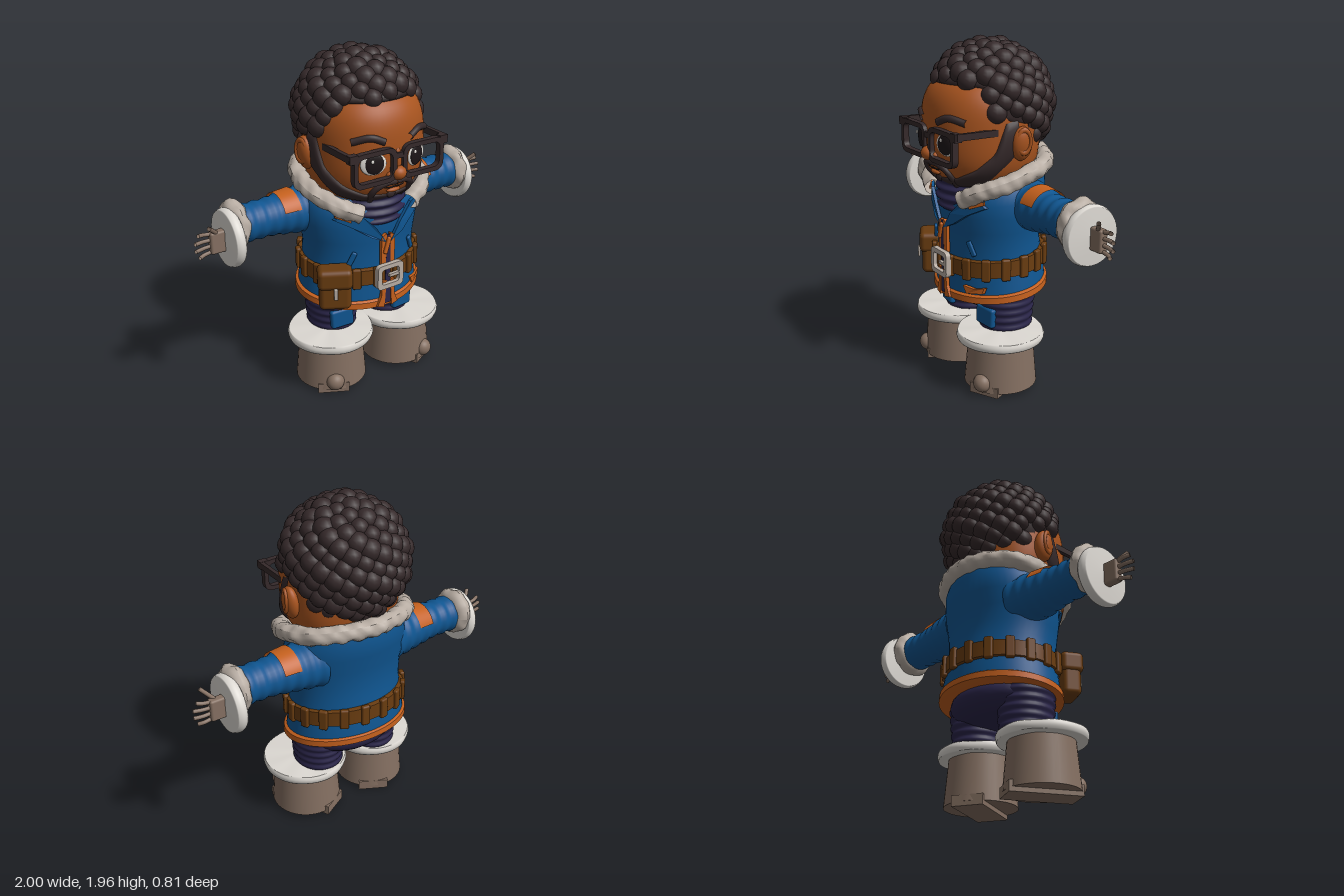
import * as THREE from 'three';
import { mergeGeometries, toCreasedNormals } from 'three/addons/utils/BufferGeometryUtils.js';
import { RoundedBoxGeometry } from 'three/addons/geometries/RoundedBoxGeometry.js';

const V = (x, y, z) => new THREE.Vector3(x, y, z);
const mat = (name, color) => {
  const m = new THREE.MeshStandardMaterial({ color, side: THREE.DoubleSide });
  m.name = name;
  return m;
};

// Head surface: squarish in height, nearly elliptical across
const headK = y => Math.cbrt(Math.max(0, 1 - Math.abs((y - 1.47) / (y < 1.47 ? 0.34 : 0.32)) ** 3));
const headPoint = (u, y, grow = 1) => {
  const s = Math.sin(u), c = Math.cos(u), rz = c > 0 ? 0.35 : 0.28;
  const r = grow * headK(y) / ((Math.abs(s) / 0.33) ** 2.2 + (Math.abs(c) / rz) ** 2.2) ** (1 / 2.2);
  return V(s * r, y, c * r);
};
const faceZ = (x, y) => 0.35 * Math.max(0, headK(y) ** 2.2 - (Math.abs(x) / 0.33) ** 2.2) ** (1 / 2.2);
const jacketZ = x => -0.025 + 0.28 * Math.sqrt(Math.max(0, 1 - (x / 0.37) ** 2));

// Grid surface from a function of two parameters; u runs rightward, v upward
function grid(nu, nv, f) {
  const pos = [], idx = [];
  for (let j = 0; j <= nv; j++) for (let i = 0; i <= nu; i++) pos.push(...f(i / nu, j / nv).toArray());
  for (let j = 0; j < nv; j++) for (let i = 0; i < nu; i++) {
    const a = j * (nu + 1) + i, d = a + nu + 1;
    idx.push(a, a + 1, d + 1, a, d + 1, d);
  }
  const g = new THREE.BufferGeometry();
  g.setAttribute('position', new THREE.Float32BufferAttribute(pos, 3));
  g.setIndex(idx);
  g.computeVertexNormals();
  return g;
}

// Closed loft through tilted ellipses [y, rx, rz, cz, tilt]
function loft(rings) {
  const all = [[...rings[0]], ...rings, [...rings[rings.length - 1]]];
  for (const r of [all[0], all[all.length - 1]]) r[1] = r[2] = 0.001;
  return toCreasedNormals(grid(56, all.length - 1, (u, v) => {
    const [y, rx, rz, cz, t] = all[Math.round(v * (all.length - 1))], a = u * Math.PI * 2 + Math.PI;
    const z = cz + rz * Math.cos(a);
    return V(rx * Math.sin(a), y - z * t, z);
  }), 0.8);
}

// Lumpy fleece: push vertices along their normals
function fluff(g, amp, f = 55) {
  const p = g.attributes.position, n = g.attributes.normal;
  for (let i = 0; i < p.count; i++) {
    const x = p.getX(i), y = p.getY(i), z = p.getZ(i);
    const d = amp * (Math.sin(x * f) * Math.sin(y * f + 1) + Math.sin(z * f + 2) * Math.cos((x + y) * f * 0.7));
    p.setXYZ(i, x + n.getX(i) * d, y + n.getY(i) * d, z + n.getZ(i) * d);
  }
  g.computeVertexNormals();
  return g;
}

// Thin plate from an outline, bent over a surface z = f(x, y)
function plate(pts, depth, f) {
  const g = new THREE.ExtrudeGeometry(new THREE.Shape(pts.map(p => new THREE.Vector2(...p))), { depth, bevelEnabled: false });
  const p = g.attributes.position;
  for (let i = 0; i < p.count; i++) p.setZ(i, p.getZ(i) + f(p.getX(i), p.getY(i)));
  g.computeVertexNormals();
  return g;
}

// Rounded rectangular frame with a hole
function frame(w, h, r, t, depth) {
  const path = (P, w, h, r) => {
    const p = new P(), x = w / 2, y = h / 2;
    p.moveTo(-x + r, -y).lineTo(x - r, -y).quadraticCurveTo(x, -y, x, -y + r).lineTo(x, y - r).quadraticCurveTo(x, y, x - r, y)
      .lineTo(-x + r, y).quadraticCurveTo(-x, y, -x, y - r).lineTo(-x, -y + r).quadraticCurveTo(-x, -y, -x + r, -y);
    return p;
  };
  const s = path(THREE.Shape, w, h, r);
  s.holes.push(path(THREE.Path, w - 2 * t, h - 2 * t, r * 0.7));
  return new THREE.ExtrudeGeometry(s, { depth, bevelEnabled: false });
}

const tube = (pts, r, n = 24, s = 10) => new THREE.TubeGeometry(new THREE.CatmullRomCurve3(pts), n, r, s);
const ball = () => new THREE.SphereGeometry(1, 24, 16);
const lathe = (n, f, seg = 32) => new THREE.LatheGeometry(Array.from({ length: n + 1 }, (_, i) => new THREE.Vector2(...f(i / n))), seg);

export function createModel() {
  const root = new THREE.Group();
  root.name = 'bundledTraveller';
  const skin = mat('skin', 0xa8541f), hair = mat('darkHair', 0x35292a), blue = mat('jacketBlue', 0x0f5590),
    orange = mat('orangeTrim', 0xc4601d), brown = mat('leather', 0x693c10), navy = mat('navyCloth', 0x2a2549),
    fur = mat('beigeFleece', 0xb8ada3), white = mat('whiteFleece', 0xdcd8d2), taupe = mat('taupe', 0x846f61), black = mat('eyeBlack', 0x1c1517);
  const add = (name, g, m, p = [0, 0, 0], s = [1, 1, 1], r = [0, 0, 0]) => {
    const o = new THREE.Mesh(g, m);
    o.name = name;
    o.position.set(...p); o.scale.set(...s); o.rotation.set(...r);
    root.add(o);
    return o;
  };

  // Head
  add('head', grid(64, 40, (u, v) => {
    const t = -Math.cos(v * Math.PI);
    return headPoint(u * 2 * Math.PI + Math.PI, 1.47 + t * (t < 0 ? 0.3399 : 0.3199));
  }), skin);
  add('nose', ball(), skin, [0, 1.355, 0.355], [0.046, 0.04, 0.045]);
  add('noseBridge', ball(), skin, [0, 1.42, 0.335], [0.028, 0.08, 0.03]);

  // Beard follows the jaw and thins out at its edges
  const edge = (a, list) => { // piecewise linear over degrees
    for (let i = 1; i < list.length; i++) if (a <= list[i][0]) {
      const [a0, y0] = list[i - 1], [a1, y1] = list[i];
      return y0 + (y1 - y0) * (a - a0) / (a1 - a0);
    }
    return list[list.length - 1][1];
  };
  add('beard', grid(60, 10, (u, v) => {
    const d = (u * 2 - 1) * 90, a = Math.abs(d);
    const top = edge(a, [[0, 1.215], [30, 1.235], [50, 1.29], [68, 1.38], [78, 1.54], [90, 1.56]]);
    const low = edge(a, [[0, 1.145], [30, 1.16], [60, 1.2], [90, 1.36]]);
    return headPoint(d * Math.PI / 180, low + (top - low) * v, 0.99 + 0.07 * Math.sqrt(Math.max(0, Math.sin(Math.PI * v))));
  }), hair);
  add('soulPatch', ball(), hair, [0, 1.215, faceZ(0, 1.215)], [0.03, 0.025, 0.015]);
  add('lowerLip', ball(), skin, [0, 1.245, faceZ(0, 1.245)], [0.045, 0.014, 0.02]);
  for (const s of [-1, 1]) {
    const on = (x, y, o = 0) => V(s * x, y, faceZ(x, y) + o);
    add('moustache', tube([on(0, 1.3), on(0.05, 1.302), on(0.105, 1.275), on(0.122, 1.23), on(0.1, 1.18)], 0.019), hair);
    add('mouthLine', tube([on(0, 1.268), on(0.03, 1.264), on(0.06, 1.27)], 0.005, 10, 6), black);
    add('nostril', ball(), skin, [s * 0.042, 1.345, 0.335], [0.026, 0.023, 0.03]);
    add('eyeWhite', ball(), white, [s * 0.138, 1.42, faceZ(0.138, 1.42) - 0.003], [0.072, 0.063, 0.014], [0, s * 0.3, 0]);
    add('iris', ball(), black, [s * 0.136, 1.42, faceZ(0.136, 1.42) + 0.006], [0.052, 0.056, 0.011], [0, s * 0.3, 0]);
    add('eyeGlint', ball(), white, [s * 0.136 - 0.02, 1.442, faceZ(0.136, 1.42) + 0.018], [0.011, 0.011, 0.005]);
    add('eyebrow', tube([on(0.08, 1.535), on(0.15, 1.562), on(0.235, 1.54)], 0.02, 14), hair, [0, 0, 0]);
    add('ear', ball(), skin, [s * 0.342, 1.425, -0.02], [0.042, 0.095, 0.062], [0, 0, -s * 0.1]);
    add('earFold', new THREE.TorusGeometry(0.045, 0.012, 8, 24), skin, [s * 0.372, 1.44, -0.015], [0.8, 1.35, 0.8], [0, Math.PI / 2 - s * 0.3, 0]);
    // Glasses
    add('lensFrame', frame(0.27, 0.19, 0.055, 0.026, 0.035), hair, [s * 0.155, 1.412, 0.338]);
    add('hinge', new THREE.BoxGeometry(0.05, 0.045, 0.04), hair, [s * 0.29, 1.487, 0.353]);
    add('temple', new THREE.BoxGeometry(0.024, 0.036, 0.36), hair, [s * 0.305, 1.49, 0.18], [1, 1, 1], [0, 0, 0]);
  }
  add('glassesBridge', new THREE.BoxGeometry(0.08, 0.03, 0.03), hair, [0, 1.455, 0.355]);

  // Hair: a cap cut away at the face, covered in round curls
  const cap = new THREE.SphereGeometry(1, 48, 40).scale(0.34, 0.33, 0.335).translate(0, 1.6, -0.03);
  const cp = cap.attributes.position;
  for (let i = 0; i < cp.count; i++) {
    const y = cp.getY(i);
    cp.setZ(i, Math.min(cp.getZ(i), y < 1.53 ? -0.07 : y < 1.71 ? 0.12 : 1));
  }
  cap.computeVertexNormals();
  add('hairCap', cap, hair);
  const curls = [];
  for (let i = 0, n = 230; i < n; i++) {
    const t = 1 - 2 * (i + 0.5) / n, a = i * 2.39996, q = Math.sqrt(1 - t * t);
    const x = 0.315 * q * Math.cos(a), y = 1.6 + 0.305 * t, z = -0.03 + 0.315 * q * Math.sin(a);
    if (y > 1.735 || (y > 1.56 && z < 0.14) || (y > 1.37 && z < -0.1))
      curls.push(new THREE.SphereGeometry(0.058 + 0.006 * Math.sin(i * 7.3), 14, 10).translate(x, y, z));
  }
  add('curls', mergeGeometries(curls), hair);

  // Jacket
  add('jacket', loft([[0.56, 0.37, 0.295, -0.035, 0.13], [0.64, 0.36, 0.29, -0.035, 0.12], [0.74, 0.345, 0.278, -0.03, 0.09],
    [0.85, 0.34, 0.268, -0.025, 0.06], [0.93, 0.35, 0.27, -0.02, 0.05], [1.02, 0.365, 0.278, -0.02, 0.06], [1.1, 0.368, 0.288, -0.03, 0.1],
    [1.17, 0.35, 0.29, -0.04, 0.18], [1.23, 0.31, 0.25, -0.06, 0.24]]), blue);
  add('hemBand', loft([[0.545, 0.375, 0.3, -0.035, 0.13], [0.55, 0.386, 0.308, -0.035, 0.13], [0.585, 0.383, 0.306, -0.035, 0.13], [0.595, 0.365, 0.292, -0.035, 0.13]]), orange);
  add('scarf', lathe(40, t => [0.16 + 0.05 * Math.sin(Math.min(1, t * 2) * Math.PI / 2) + 0.009 * Math.sin(t * 28), 0.97 + 0.24 * t]), navy, [0, 0, 0.07]);
  add('collar', fluff(tube([[-0.16, 1.11, 0.245], [-0.27, 1.165, 0.2], [-0.35, 1.225, 0.04], [-0.29, 1.285, -0.2], [0, 1.31, -0.32],
    [0.29, 1.285, -0.2], [0.35, 1.225, 0.04], [0.27, 1.165, 0.2], [0.16, 1.11, 0.245]].map(p => V(...p)), 0.05, 120, 16), 0.005, 70), fur);
  add('frontGap', plate([[-0.02, 0.53], [0.02, 0.53], [0.012, 0.96], [-0.012, 0.96]], 0.008, () => 0.272), navy);
  for (const s of [-1, 1]) {
    const p = pts => pts.map(([x, y]) => [s * x, y]);
    add('placket', plate(p([[0.012, 0.78], [0.045, 0.78], [0.045, 0.95], [0.012, 0.97]]), 0.02, x => jacketZ(x) + 0.005), orange);
    add('lowerPlacket', plate(p([[0.025, 0.51], [0.07, 0.52], [0.045, 0.58], [0.04, 0.68], [0.012, 0.68]]), 0.02, x => jacketZ(x) + 0.01), orange);
    add('lapel', plate(p([[0.015, 0.92], [0.08, 1.02], [0.17, 1.11], [0.25, 1.12], [0.29, 1.08], [0.2, 1.03], [0.1, 0.96]]), 0.02, x => jacketZ(x) + 0.008), blue);
    add('collarTab', plate(p([[0.22, 1.07], [0.29, 1.1], [0.29, 1.12], [0.22, 1.1]]), 0.009, x => jacketZ(x) + 0.029), orange);
    add('pocketTab', new RoundedBoxGeometry(0.03, 0.09, 0.02, 2, 0.008), blue, [s * 0.2, 0.835, 0.21], [1, 1, 1], [0, s * 0.5, s * 0.45]);
  }
  add('zipPull', new RoundedBoxGeometry(0.025, 0.1, 0.02, 2, 0.008), orange, [-0.012, 0.9, 0.285], [1, 1, 1], [0, 0, -0.3]);
  add('mendPatch', plate([[0.18, 0.625], [0.2, 0.58], [0.28, 0.59], [0.29, 0.625], [0.24, 0.615]], 0.02, x => jacketZ(x) + 0.015), orange);

  // Belt with loops, buckle and pouch
  add('belt', loft([[0.685, 0.35, 0.29, -0.03, 0.09], [0.69, 0.364, 0.302, -0.03, 0.09], [0.78, 0.36, 0.3, -0.03, 0.09], [0.785, 0.345, 0.285, -0.03, 0.09]]), brown);
  for (let i = 0; i < 18; i++) {
    const a = (i + 0.5) / 18 * Math.PI * 2, z = -0.03 + 0.302 * Math.cos(a);
    add('beltLoop', new RoundedBoxGeometry(0.05, 0.125, 0.03, 2, 0.01), brown, [0.362 * Math.sin(a), 0.735 - z * 0.09, z], [1, 1, 1], [0, a, 0]);
  }
  add('buckle', frame(0.175, 0.15, 0.03, 0.028, 0.03), fur, [0, 0.715, 0.277]);
  add('bucklePin', new THREE.BoxGeometry(0.08, 0.018, 0.02), fur, [0.035, 0.715, 0.295]);
  add('pouch', new RoundedBoxGeometry(0.18, 0.23, 0.11, 4, 0.03), brown, [-0.3, 0.675, 0.19], [1, 1, 1], [0, -0.5, 0]);
  add('pouchFlap', new RoundedBoxGeometry(0.195, 0.12, 0.13, 4, 0.03), brown, [-0.302, 0.75, 0.193], [1, 1, 1], [0, -0.5, 0]);
  add('pouchClasp', new RoundedBoxGeometry(0.022, 0.07, 0.015, 2, 0.006), fur, [-0.334, 0.675, 0.255], [1, 1, 1], [0, -0.5, 0]);
  add('hips', ball(), navy, [0, 0.54, -0.035], [0.31, 0.13, 0.25]);

  for (const s of [-1, 1]) {
    // Arm
    const turn = [0, 0, -s * Math.PI / 2], hz = s > 0 ? -0.13 : -0.07;
    add('sleeve', lathe(48, t => [0.15 - 0.045 * Math.min(1, t * 1.6) + 0.004 * Math.sin(t * 44), 0.24 + 0.5 * t]), blue, [0, 1.07, -0.095], [1, 1, 1], turn);
    add('shoulderPatch', new THREE.CylinderGeometry(0.125, 0.134, 0.1, 24, 1, true, (s > 0 ? 1.5 : 0.5) * Math.PI - 1.2, 2.4), orange, [s * 0.45, 1.07, -0.095], [1, 1, 1], turn);
    add('cuff', fluff(new THREE.TorusGeometry(0.082, 0.05, 16, 48), 0.005), fur, [s * 0.745, 1.075, -0.1], [1, 1.03, 1], [0, Math.PI / 2, 0]);
    add('mittenRim', lathe(12, t => t === 0 || t === 1 ? [0, t * 0.07] : [0.15 + 0.014 * Math.sin(t * Math.PI), t * 0.07], 40), white, [s * 0.762, 1.022, hz], [1, 1, 1], turn);
    // Hand
    add('palm', new RoundedBoxGeometry(0.09, 0.125, 0.05, 2, 0.012), taupe, [s * 0.865, 1.018, hz]);
    for (let i = 0; i < 4; i++) {
      const y = 0.968 + i * 0.033;
      add('finger', tube([V(s * 0.89, y, hz), V(s * 0.945, y + (i - 1.5) * 0.006, hz), V(s * (i % 3 ? 0.995 : 0.975), y + (i - 1.5) * 0.01, hz + 0.012)], 0.0115, 8, 8), taupe);
    }
    add('thumb', tube([V(s * 0.86, 1.06, hz), V(s * 0.9, 1.1, hz + 0.03), V(s * 0.93, 1.13, hz + 0.055)], 0.012, 8, 8), taupe);
    // Leg and boot
    add('trouserLeg', lathe(40, t => [0.135 + 0.022 * t + 0.004 * Math.sin(t * 38), 0.3 + 0.28 * t]), navy, [s * 0.19, 0, -0.025], [1, 1, 1.1]);
    add('kneePatch', new RoundedBoxGeometry(0.14, 0.115, 0.04, 3, 0.015), blue, [s * 0.212, 0.425, 0.122], [1, 1, 1], [0, s * 0.15, -s * 0.06]);
    add('bootRim', fluff(lathe(14, t => t === 0 || t === 1 ? [0, 0.288 + t * 0.06] : [0.24 + 0.01 * Math.sin(t * Math.PI), 0.288 + t * 0.06], 48), 0.002, 30), white, [s * 0.24, 0, 0.045]);
    add('boot', new THREE.CylinderGeometry(0.185, 0.208, 0.27, 36), taupe, [s * 0.237, 0.16, 0.04]);
    add('sole', new THREE.BoxGeometry(0.18, 0.06, 0.4), taupe, [s * 0.237, 0.03, 0.035], [1, 1, 1], [0, s * 0.48, 0]);
    add('toeKnob', ball(), taupe, [s * 0.32, 0.075, 0.215], [0.053, 0.053, 0.05]);
  }
  return root;
}
